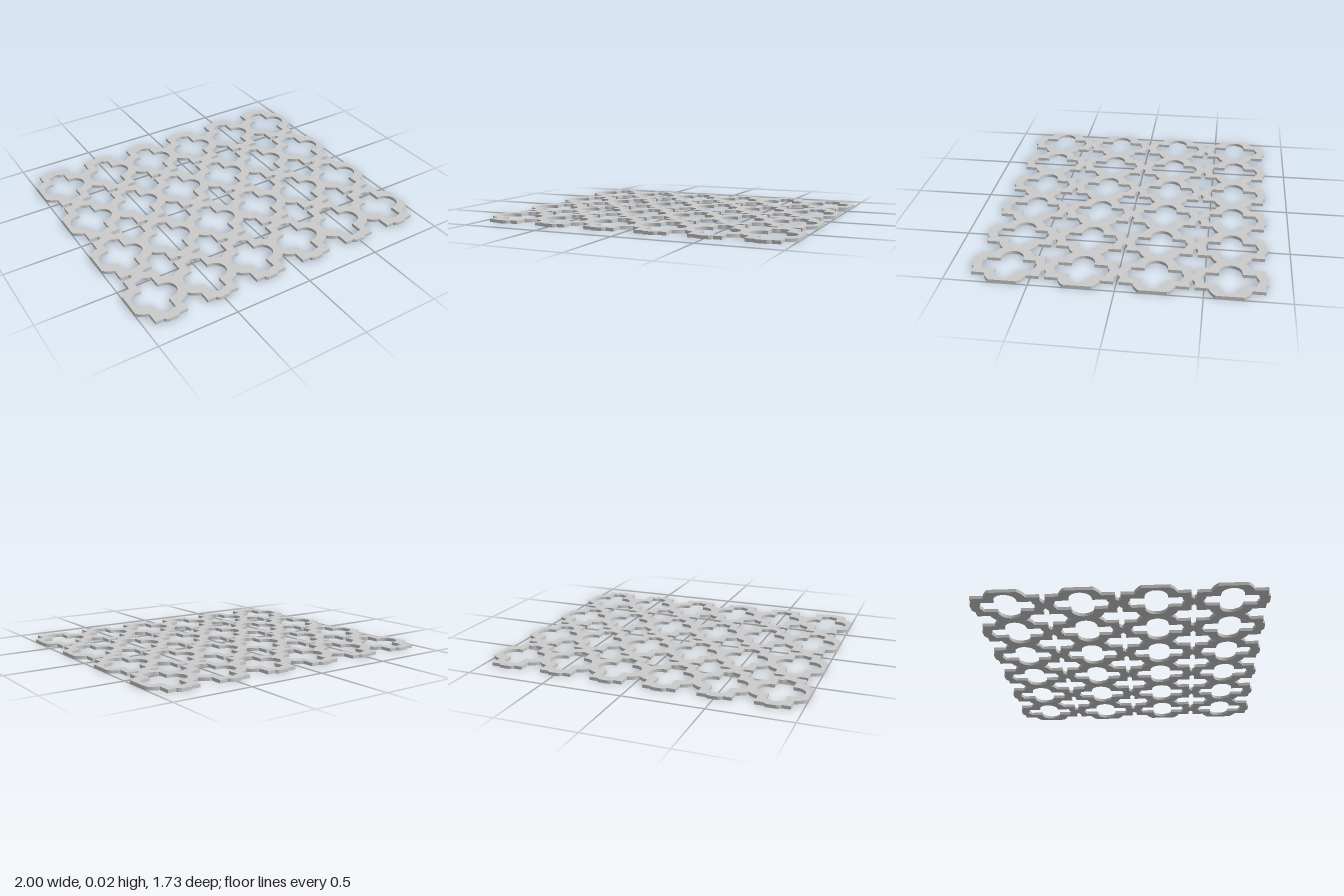
import * as THREE from 'three';

const COLUMNS = 6, ROWS = 4;
const PITCH_X = 1 / 3, PITCH_Z = 0.432, THICKNESS = 0.02;

// Points on a circular lobe around (cx, 0), between two angles
function lobe(cx, radius, from, to, steps) {
  return Array.from({ length: steps + 1 }, (_, i) => {
    const a = from + (to - from) * i / steps;
    return [cx + radius * Math.cos(a), radius * Math.sin(a)];
  });
}

// Mirrors a quarter outline (from the x axis round to the y axis) into a closed loop
function mirrorQuarter(quarter) {
  const back = [...quarter].reverse();
  const loop = [
    ...quarter,
    ...back.map(([x, y]) => [-x, y]),
    ...quarter.map(([x, y]) => [-x, -y]),
    ...back.map(([x, y]) => [x, -y]),
  ].map(([x, y]) => new THREE.Vector2(x, y));
  return loop.filter((p, i) => p.distanceTo(loop[(i + 1) % loop.length]) > 1e-5);
}

// One pierced quatrefoil cell, lying flat
function cellGeometry() {
  const R = 0.127, cx = 0.07, side = PITCH_X / 2, arm = 0.102;
  const outer = [
    ...lobe(cx, R, Math.acos((side - cx) / R), Math.acos((arm - cx) / R), 5),
    [arm, 0.2], [0.05, 0.2], [0.042, 0.209], [0.028, PITCH_Z / 2],
  ];
  const inner = [
    ...lobe(0.073, 0.066, 0, Math.PI / 2, 10),
    [0.054, 0.068], [0.054, 0.147], [0.03, 0.152], [0.012, 0.162], [0, 0.164],
  ];
  const shape = new THREE.Shape(mirrorQuarter(outer));
  shape.holes.push(new THREE.Path(mirrorQuarter(inner)));
  const geometry = new THREE.ExtrudeGeometry(shape, { depth: THICKNESS, bevelEnabled: false });
  return geometry.rotateX(-Math.PI / 2);
}

export function createModel() {
  const group = new THREE.Group();
  group.name = 'latticePanel';
  const material = new THREE.MeshStandardMaterial({ color: 0xcccccc });
  const geometry = cellGeometry();

  // Grid of cells that touch at their sides and tips
  for (let row = 0; row < ROWS; row++) {
    for (let col = 0; col < COLUMNS; col++) {
      const cell = new THREE.Mesh(geometry, material);
      cell.name = `latticeCell_${row}_${col}`;
      cell.position.set((col - (COLUMNS - 1) / 2) * PITCH_X, 0, (row - (ROWS - 1) / 2) * PITCH_Z);
      group.add(cell);
    }
  }
  return group;
}
